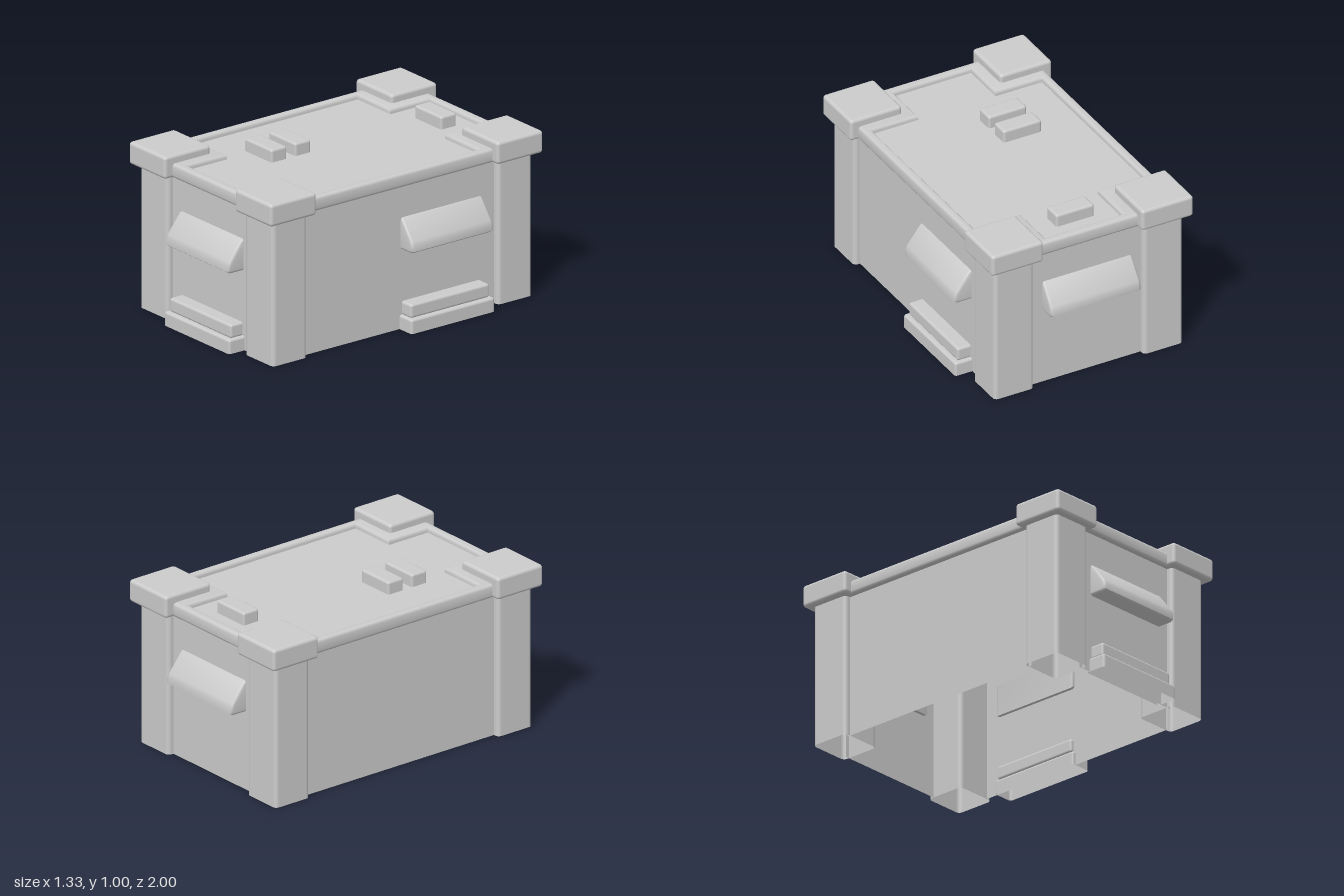
import * as THREE from 'three';
import { toCreasedNormals } from 'three/addons/utils/BufferGeometryUtils.js';
import { RoundedBoxGeometry } from 'three/addons/geometries/RoundedBoxGeometry.js';

const material = new THREE.MeshStandardMaterial({ color: 0xcccccc, side: THREE.DoubleSide });
const CX = -0.016; // the body sits slightly off centre because of the side awning

function add(parent, name, geometry) {
  const mesh = new THREE.Mesh(geometry, material);
  mesh.name = name;
  parent.add(mesh);
  return mesh;
}

// Rounded box given by its min and max corners
function block(parent, name, [x0, y0, z0], [x1, y1, z1], r = 0.02) {
  const g = new RoundedBoxGeometry(x1 - x0, y1 - y0, z1 - z0, 3, r);
  g.translate((x0 + x1) / 2, (y0 + y1) / 2, (z0 + z1) / 2);
  return add(parent, name, g);
}

// Rounded block standing on the ground with no underside
function openBlock(parent, name, [x0, z0], [x1, y1, z1], r = 0.02) {
  const mesh = block(parent, name, [x0, -r, z0], [x1, y1, z1], r);
  const p = mesh.geometry.attributes.position;
  const keep = [];
  for (let i = 0; i < p.count; i += 3) {
    if (p.getY(i) + p.getY(i + 1) + p.getY(i + 2) > -1e-4) keep.push(i, i + 1, i + 2);
  }
  mesh.geometry.setIndex(keep);
  mesh.geometry.clearGroups();
  return mesh;
}

// Sloped awning facing +z, its wall at z = 0
function awning(parent, name, width) {
  const bevel = 0.015;
  const profile = new THREE.Shape([
    [-0.02, 0.478], [0.09, 0.478], [0.108, 0.49], [0.108, 0.525], [0.098, 0.55], [0.012, 0.66], [0, 0.668], [-0.02, 0.668],
  ].map(([z, y]) => new THREE.Vector2(z, y)));
  const depth = width - 2 * bevel;
  const g = new THREE.ExtrudeGeometry(profile, {
    depth, bevelThickness: bevel, bevelSize: bevel, bevelOffset: -bevel, bevelSegments: 3,
  });
  g.translate(0, 0, -depth / 2).rotateY(-Math.PI / 2);
  return add(parent, name, toCreasedNormals(g, 0.7));
}

// Two stacked doorsteps facing +z, their wall at z = 0
function steps(parent) {
  openBlock(parent, 'lowerStep', [-0.298, -0.02], [0.298, 0.085, 0.11], 0.015);
  block(parent, 'upperStep', [-0.282, 0.082, -0.02], [0.28, 0.165, 0.085], 0.015);
}

function roof(parent) {
  const points = (list) => list.map(([x, y]) => new THREE.Vector2(x, y));
  const w = 0.6025, d = 0.92, bevel = 0.018;
  const outline = new THREE.Shape(points([[-w, -d], [w, -d], [w, d], [-w, d]]));
  // Cross-shaped recess that steps in around the corner caps
  const a = 0.55, b = 0.25, c = 0.585, e = 0.865;
  const cross = points([
    [-b, -e], [b, -e], [b, -c], [a, -c], [a, c], [b, c], [b, e], [-b, e], [-b, c], [-a, c], [-a, -c], [-b, -c],
  ]);
  outline.holes.push(new THREE.Path(cross.slice().reverse()));
  const rim = new THREE.ExtrudeGeometry(outline, {
    depth: 0.085 - 2 * bevel, bevelThickness: bevel, bevelSize: bevel, bevelOffset: -bevel, bevelSegments: 3,
  });
  rim.rotateX(-Math.PI / 2).translate(CX, 0.86 + bevel, 0);
  add(parent, 'roofRim', toCreasedNormals(rim, 0.7));
  const panel = new THREE.BoxGeometry(2 * w - 0.05, 0.05, 2 * d - 0.05);
  add(parent, 'roofPanel', panel.translate(CX, 0.89, 0));
  for (const [x, z] of [[-0.19, 0.195], [-0.19, 0.365], [-0.018, -0.713]]) {
    block(parent, 'roofVent', [x - 0.123, 0.9, z - 0.056], [x + 0.123, 0.991, z + 0.056], 0.015);
  }
}

export function createModel() {
  const model = new THREE.Group();
  model.name = 'building';

  // Recessed walls between the corner pillars
  const hx = 0.572, hz = 0.89, h = 0.88;
  for (const s of [-1, 1]) {
    const end = new THREE.PlaneGeometry(0.76, h).rotateY(s > 0 ? 0 : Math.PI);
    add(model, s > 0 ? 'frontWall' : 'backWall', end.translate(CX, h / 2, s * hz));
    const side = new THREE.PlaneGeometry(1.4, h).rotateY(s * Math.PI / 2);
    add(model, s > 0 ? 'leftWall' : 'rightWall', side.translate(CX + s * hx, h / 2, 0));
  }

  // Corner pillars and their caps
  for (const sx of [-1, 1]) {
    for (const sz of [-1, 1]) {
      const x = CX + sx * 0.482, z = sz * 0.805;
      openBlock(model, 'cornerPillar', [x - 0.128, z - 0.123], [x + 0.128, 0.9, z + 0.123], 0.025);
      const cx = CX + sx * 0.485, cz = sz * 0.811;
      block(model, 'cornerCap', [cx - 0.167, 0.86, cz - 0.164], [cx + 0.167, 0.995, cz + 0.164]);
    }
  }

  roof(model);

  // Front and side entrances, and the plain back awning
  const places = [
    ['frontEntrance', -0.012, hz, 0, true],
    ['sideEntrance', CX + hx, -0.305, Math.PI / 2, true],
    ['backAwning', -0.024, -hz, Math.PI, false],
  ];
  for (const [name, x, z, turn, hasSteps] of places) {
    const group = new THREE.Group();
    group.name = name;
    group.position.set(x, 0, z);
    group.rotation.y = turn;
    awning(group, 'awning', 0.58);
    if (hasSteps) steps(group);
    model.add(group);
  }
  return model;
}
